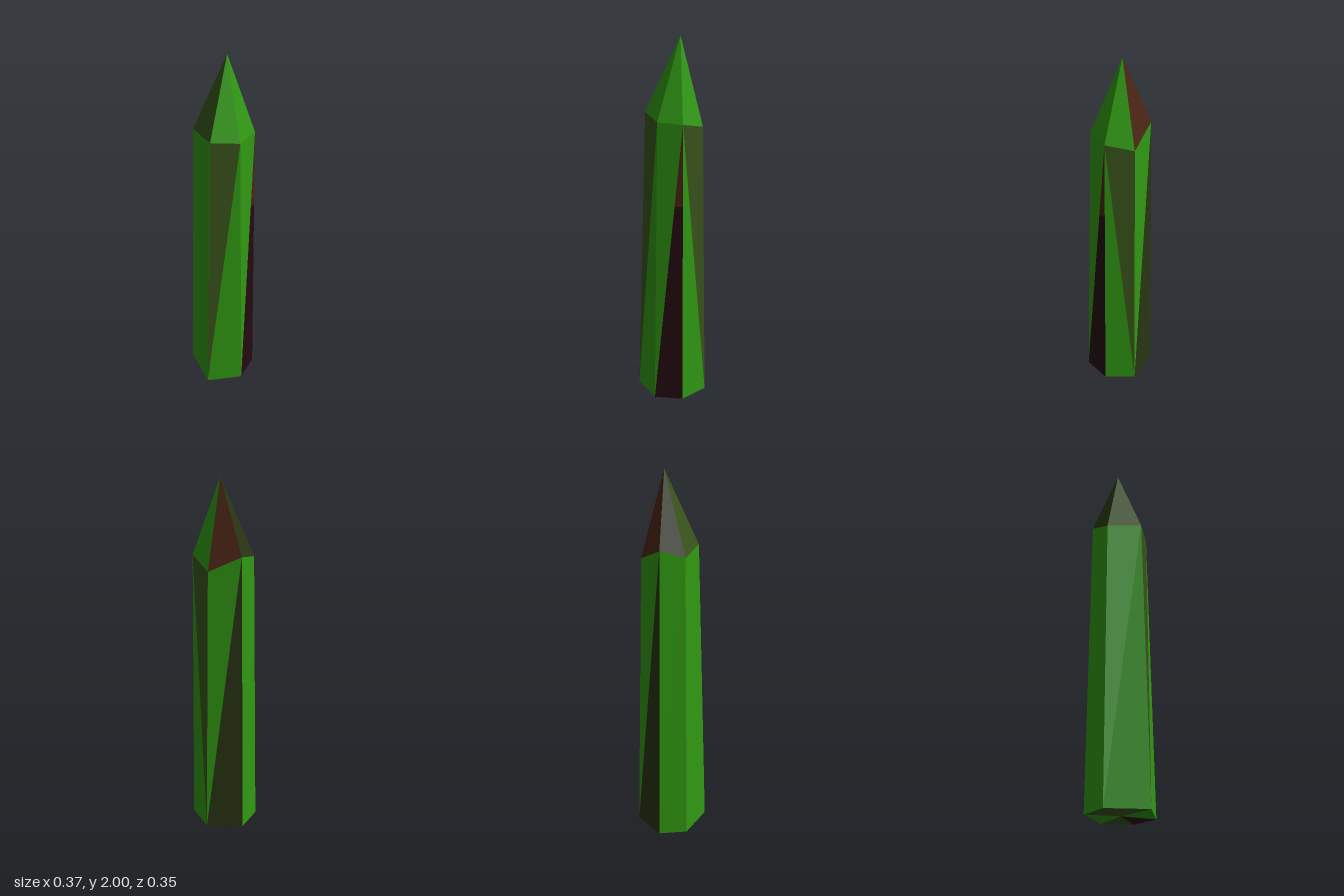
import * as THREE from 'three';

const V = (x, y, z) => new THREE.Vector3(x, y, z);
const flat = (name, hex) => {
  const m = new THREE.MeshStandardMaterial({ color: hex });
  m.name = name;
  return m;
};

export function createModel() {
  const group = new THREE.Group();
  group.name = 'crystal';

  const green = flat('green', 0x309812);
  const olive = flat('olive', 0x38521a);
  const darkOlive = flat('darkOlive', 0x283414);
  const brown = flat('brown', 0x4a2414);
  const maroon = flat('maroon', 0x260a11);

  // Six-sided foot and shoulder rings, counterclockwise from above
  const foot = [V(0.185, 0, -0.005), V(0.11, 0, -0.14), V(-0.055, 0, -0.175),
    V(-0.185, 0, -0.02), V(-0.128, 0, 0.122), V(0.1, 0, 0.172)];
  const shoulder = [V(0.148, 1.585, -0.005), V(0.1, 1.583, -0.13), V(-0.048, 1.54, -0.148),
    V(-0.158, 1.62, -0.02), V(-0.108, 1.58, 0.102), V(0.077, 1.6, 0.126)];
  const tip = V(-0.008, 2, -0.035);
  const center = V(0, 0, 0);

  // Facets of one part, gathered by colour into flat meshes
  function part(name, facets) {
    const g = new THREE.Group();
    g.name = name;
    const byColor = new Map();
    for (const [mat, ...points] of facets) {
      if (!byColor.has(mat)) byColor.set(mat, []);
      byColor.get(mat).push(...points);
    }
    for (const [mat, points] of byColor) {
      const geo = new THREE.BufferGeometry().setFromPoints(points);
      geo.computeVertexNormals();
      const mesh = new THREE.Mesh(geo, mat);
      mesh.name = name + 'Facets';
      g.add(mesh);
    }
    group.add(g);
  }

  // Colour of each facet around the ring
  const tipColors = [green, green, brown, darkOlive, olive, green];
  const upperColors = [green, olive, green, green, green, olive];
  const lowerColors = [maroon, green, darkOlive, green, green, green];
  const baseColors = [maroon, olive, green, olive, olive, green];

  const tipFacets = [], shaftFacets = [], baseFacets = [];
  for (let i = 0; i < 6; i++) {
    const j = (i + 1) % 6;
    const [a, b, c, d] = [foot[i], foot[j], shoulder[j], shoulder[i]];
    tipFacets.push([tipColors[i], d, c, tip]);
    baseFacets.push([baseColors[i], b, a, center]);
    if (i === 1) {
      // This side is cut along the other diagonal
      shaftFacets.push([lowerColors[i], a, b, d], [upperColors[i], b, c, d]);
    } else if (i === 0) {
      // Maroon sliver with a brown upper end
      const p = a.clone().lerp(c, 0.723), q = b.clone().lerp(c, 0.723);
      shaftFacets.push([upperColors[i], a, c, d]);
      shaftFacets.push([maroon, a, b, q], [maroon, a, q, p], [brown, p, q, c]);
    } else {
      shaftFacets.push([lowerColors[i], a, b, c], [upperColors[i], a, c, d]);
    }
  }
  part('tip', tipFacets);
  part('shaft', shaftFacets);
  part('base', baseFacets);
  return group;
}
